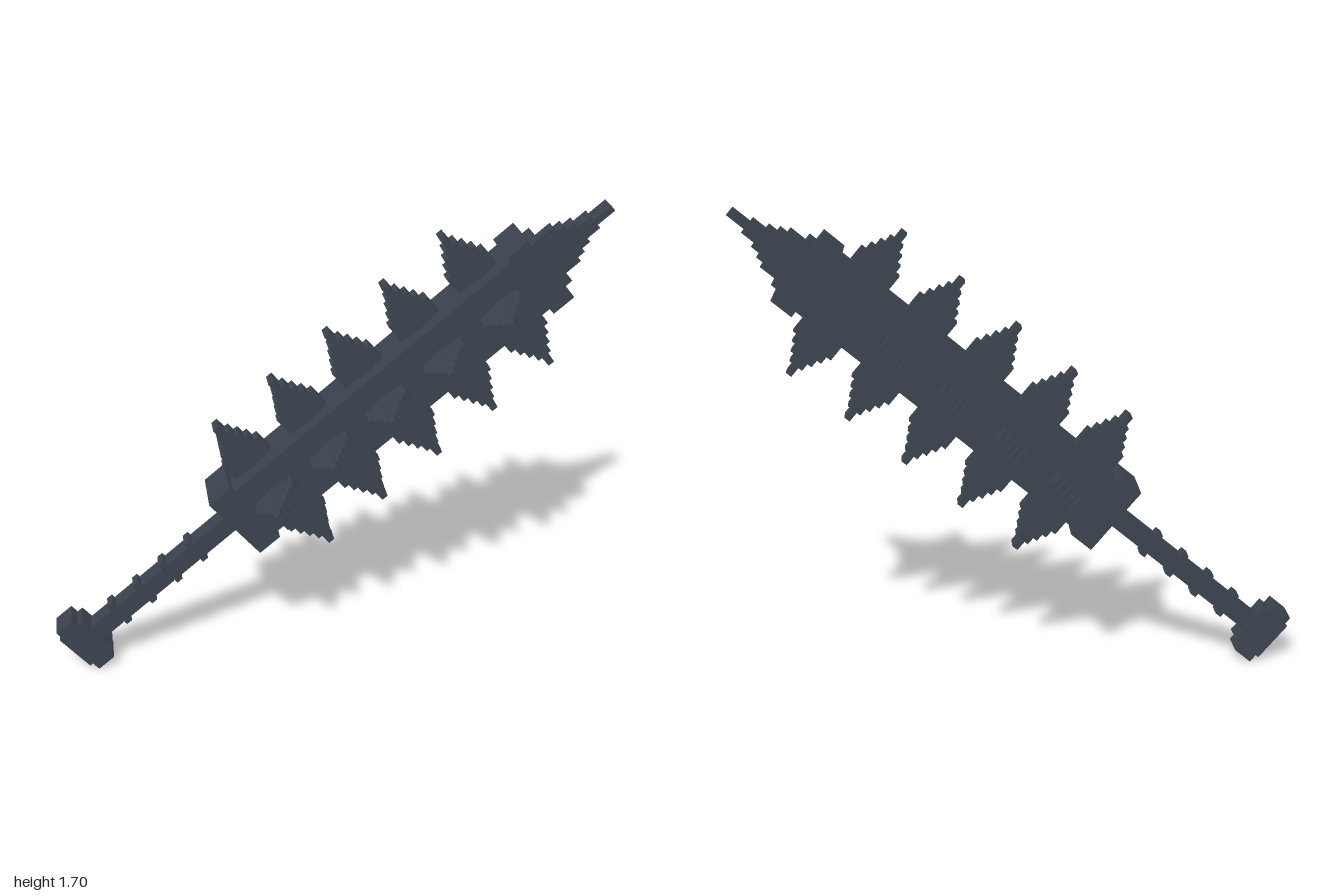
import * as THREE from 'three';

export function createModel() {
  const iron = new THREE.MeshStandardMaterial({ color: 0x3c434f });
  iron.name = 'dark iron';

  const model = new THREE.Group();
  model.name = 'spikedMace';

  // Local frame: x runs along the shaft, y across it, z is depth
  const mace = new THREE.Group();
  mace.name = 'mace';
  mace.position.set(0.21, 1.05, 0);
  mace.rotation.z = THREE.MathUtils.degToRad(40);
  model.add(mace);

  // Box from x0 to x1, with half height and half depth
  function bar(name, x0, x1, halfY, halfZ, parent = mace) {
    const mesh = new THREE.Mesh(new THREE.BoxGeometry(x1 - x0, halfY * 2, halfZ * 2), iron);
    mesh.name = name;
    mesh.position.x = (x0 + x1) / 2;
    parent.add(mesh);
    return mesh;
  }

  // Stepped spike pointing along +x: nested slabs, narrower as they get longer
  const halfWidths = [0.083, 0.064, 0.046, 0.028, 0.012];
  function spike(name, lengths, parent) {
    const group = new THREE.Group();
    group.name = name;
    lengths.forEach((len, i) => bar('spikeStep', -0.02, len, halfWidths[i], 0.024 + i * 0.0025, group));
    parent.add(group);
    return group;
  }

  // Pommel
  bar('pommelCore', -1.5, -1.385, 0.08, 0.048);
  bar('pommelPlate', -1.485, -1.41, 0.112, 0.052);

  // Handle with grip segments and rings between them
  bar('handleCore', -1.4, -0.68, 0.028, 0.03);
  const rings = [-1.274, -1.148, -1.022, -0.896];
  const stops = [-1.4, ...rings, -0.7];
  for (let i = 0; i < stops.length - 1; i++) {
    bar('gripSegment', stops[i] + 0.012, stops[i + 1] - 0.012, 0.033, 0.038);
  }
  for (const x of rings) bar('gripRing', x - 0.012, x + 0.012, 0.052, 0.031);

  // Head and its end collars
  bar('head', -0.68, 0.69, 0.115, 0.093);
  bar('lowerCollar', -0.715, -0.62, 0.138, 0.096);
  bar('upperCollar', 0.635, 0.725, 0.138, 0.096);
  bar('tipBase', 0.715, 0.755, 0.1, 0.065);

  // Five rows of spikes on four sides of the head
  const sideLengths = [0.075, 0.105, 0.135, 0.165, 0.205];
  for (let row = -2; row <= 2; row++) {
    for (let side = 0; side < 4; side++) {
      const turn = new THREE.Group();
      turn.name = 'spikeMount';
      turn.position.x = row * 0.257;
      turn.rotation.x = side * Math.PI / 2;
      mace.add(turn);
      const s = spike('sideSpike', sideLengths, turn);
      s.rotation.z = Math.PI / 2;
      s.position.y = side % 2 ? 0.085 : 0.115;
    }
  }

  // Long spike at the tip
  spike('tipSpike', [0.095, 0.125, 0.16, 0.215, 0.29], mace).position.x = 0.725;

  return model;
}
